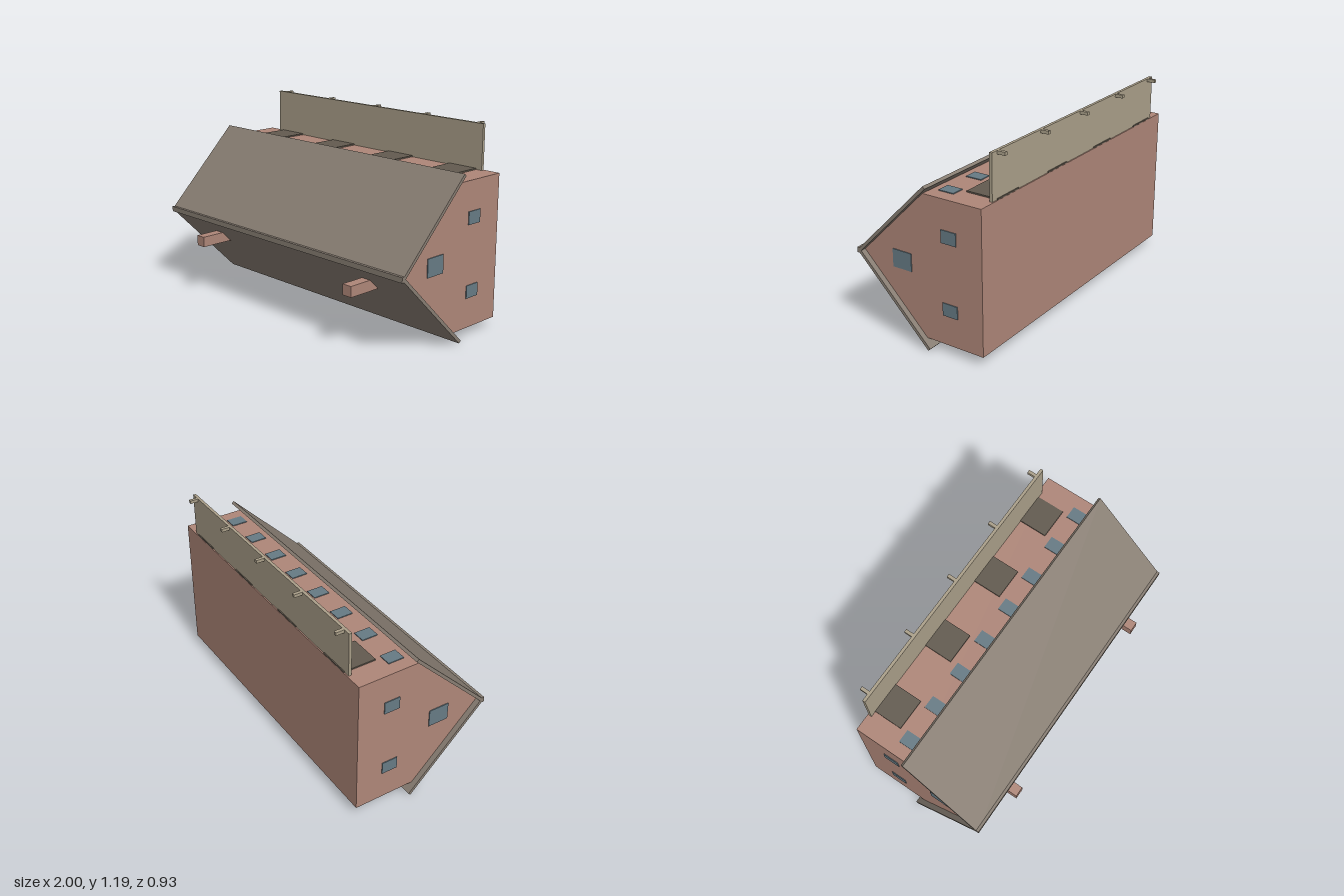
import * as THREE from 'three';

const mat = (name, color) => {
  const m = new THREE.MeshStandardMaterial({ color });
  m.name = name;
  return m;
};

export function createModel() {
  const model = new THREE.Group();
  model.name = 'barnOnItsSide';

  const wall = mat('clayWall', 0xae8678);
  const roofing = mat('greyRoof', 0x877d72);
  const wood = mat('paleWood', 0xaa9f89);
  const glass = mat('blueGlass', 0x667a84);
  const doorMat = mat('darkDoor', 0x625a4f);

  // Box from its min and max on each axis
  const box = (name, material, [x0, x1], [y0, y1], [z0, z1]) => {
    const mesh = new THREE.Mesh(new THREE.BoxGeometry(x1 - x0, y1 - y0, z1 - z0), material);
    mesh.position.set((x0 + x1) / 2, (y0 + y1) / 2, (z0 + z1) / 2);
    mesh.name = name;
    model.add(mesh);
  };

  // Profile of [z, y] points extruded along x, centred
  const prism = (name, material, points, length) => {
    const shape = new THREE.Shape(points.map(([z, y]) => new THREE.Vector2(z, y)));
    const geo = new THREE.ExtrudeGeometry(shape, { depth: length, bevelEnabled: false });
    geo.translate(0, 0, -length / 2);
    geo.rotateY(-Math.PI / 2);
    const mesh = new THREE.Mesh(geo, material);
    mesh.name = name;
    model.add(mesh);
  };

  const mid = 0.488, half = 0.43, top = mid + half, bottom = mid - half;
  const wallX = 0.966, apex = 0.39, back = -0.422;

  // Gabled body, ridge pointing forward
  prism('body', wall, [
    [back, bottom], [apex - half, bottom], [apex, mid], [apex - half, top], [back, top],
  ], wallX * 2);

  // Two roof slabs meeting at the ridge
  for (const s of [1, -1]) {
    prism(s > 0 ? 'upperRoof' : 'lowerRoof', roofing, [
      [apex, mid], [apex + 0.027, mid],
      [-0.07, mid + s * 0.487], [-0.084, mid + s * 0.474],
    ], 2);
  }
  box('ridgeBeam', roofing, [-1, 1], [mid - 0.016, mid + 0.016], [apex, 0.418]);

  // Chimneys poking out through the lower slab
  for (const x of [-0.647, 0.643]) {
    box('chimney', wall, [x - 0.032, x + 0.032], [0.322, 0.386], [0.2, 0.465]);
  }

  // Upright board with pegs along its rear edge
  box('board', wood, [-0.86, 0.86], [top, 1.187], [-0.415, -0.397]);
  for (let i = -2; i <= 2; i++) {
    const x = i * 0.403;
    box('peg', wood, [x - 0.01, x + 0.01], [1.168, 1.187], [-0.465, -0.415]);
  }

  // Doors on the upper wall
  for (const x of [-0.727, -0.247, 0.243, 0.723]) {
    box('door', doorMat, [x - 0.097, x + 0.097], [top - 0.001, top + 0.008], [-0.421, -0.22]);
  }

  // Rows of windows on the upper and lower walls
  for (let i = 0; i < 8; i++) {
    const x = -0.849 + i * 0.242;
    for (const y of [top, bottom]) {
      box('sideWindow', glass, [x - 0.04, x + 0.04], [y - 0.005, y + 0.005], [-0.182, -0.083]);
    }
  }

  // Gable windows on both ends
  for (const x of [wallX, -wallX]) {
    for (const [y, z] of [[[0.437, 0.545], [0.053, 0.182]],
      [[0.236, 0.312], [-0.256, -0.157]], [[0.666, 0.742], [-0.256, -0.157]]]) {
      box('gableWindow', glass, [x - 0.005, x + 0.005], y, z);
    }
  }

  return model;
}
